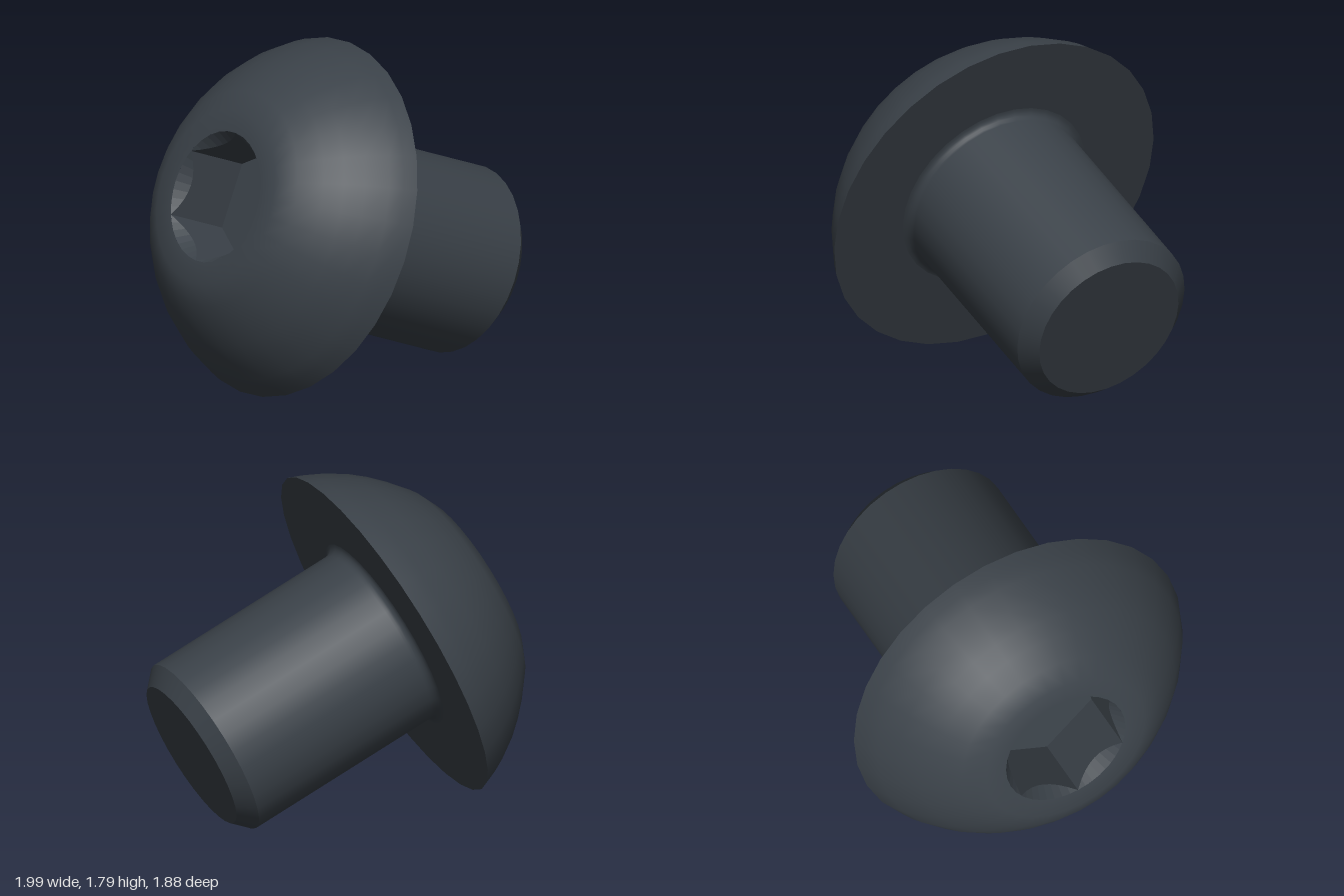
import * as THREE from 'three';

const SEGMENTS = 32;
const HEAD_R = 0.962, HEAD_H = 0.56;
const SHANK_R = 0.504, LENGTH = 1.225, CHAMFER = 0.085, FILLET = 0.045;
const SOCKET_R = 0.351, SOCKET_DEPTH = 0.36, SOCKET_BEVEL = 1.5;

export function createModel() {
  const model = new THREE.Group();
  model.name = 'buttonHeadBolt';
  const steel = new THREE.MeshStandardMaterial({ color: 0x3a4148 });
  steel.name = 'darkSteel';

  const add = (name, geometry) => {
    const mesh = new THREE.Mesh(geometry, steel);
    mesh.name = name;
    model.add(mesh);
  };
  // Profiles run from the tip (low y) towards the head (high y)
  const turned = (name, profile) =>
    add(name, new THREE.LatheGeometry(profile.map(([r, y]) => new THREE.Vector2(r, y)), SEGMENTS));

  // Shank: flat tip, chamfer, cylinder flaring into a small fillet
  const tipR = SHANK_R - CHAMFER;
  turned('tipFace', [[0, -LENGTH], [tipR, -LENGTH]]);
  turned('tipChamfer', [[tipR, -LENGTH], [SHANK_R, -LENGTH + CHAMFER]]);
  const shank = [[SHANK_R, -LENGTH + CHAMFER]];
  for (let i = 0; i <= 5; i++) {
    const a = (i / 5) * Math.PI / 2;
    shank.push([SHANK_R + FILLET * (1 - Math.cos(a)), -FILLET * (1 - Math.sin(a))]);
  }
  turned('shank', shank);

  // Head: flat underside and rounded dome, open at the socket
  turned('headUnderside', [[SHANK_R + FILLET, 0], [HEAD_R, 0]]);
  turned('headDome', [
    [HEAD_R, 0], [0.935, 0.07], [0.9, 0.14], [0.83, 0.25], [0.76, 0.335], [0.685, 0.41],
    [0.58, 0.5], [0.465, HEAD_H], [SOCKET_R, HEAD_H],
  ]);

  // Hex socket: conical lead-in, six walls and a flat floor
  add('hexSocket', socketGeometry());

  // Tilt the bolt so it rests on its rim and tip
  const axis = new THREE.Vector3(-0.906, 0.374, -0.198).normalize();
  const down = new THREE.Vector3(0, -1, 0).addScaledVector(axis, axis.y).normalize();
  const side = new THREE.Vector3().crossVectors(down, axis);
  model.quaternion.setFromRotationMatrix(new THREE.Matrix4().makeBasis(down, axis, side));
  model.position.set(-0.29, 0.9, 0);
  return model;
}

function socketGeometry() {
  const steps = 8, count = 6 * steps;
  const apothem = SOCKET_R * Math.cos(Math.PI / 6);
  const floorY = HEAD_H - SOCKET_DEPTH;
  const hexRadius = (i) => apothem / Math.cos(((i % steps) / steps - 0.5) * Math.PI / 3);
  const at = (i, r, y) => {
    const a = (i / count) * Math.PI * 2;
    return [r * Math.cos(a), y, r * Math.sin(a)];
  };
  const rings = [
    (i) => at(i, SOCKET_R, HEAD_H),
    (i) => at(i, hexRadius(i), HEAD_H - SOCKET_BEVEL * (SOCKET_R - hexRadius(i))),
    (i) => at(i, hexRadius(i), floorY),
    (i) => at(i, 0, floorY),
  ];
  const positions = [];
  for (let k = 0; k < rings.length - 1; k++) {
    for (let i = 0; i < count; i++) {
      const p0 = rings[k](i), p1 = rings[k](i + 1);
      const q0 = rings[k + 1](i), q1 = rings[k + 1](i + 1);
      positions.push(...p0, ...q0, ...p1);
      if (k < 2) positions.push(...p1, ...q0, ...q1);
    }
  }
  const geometry = new THREE.BufferGeometry();
  geometry.setAttribute('position', new THREE.Float32BufferAttribute(positions, 3));
  geometry.computeVertexNormals();
  return geometry;
}
